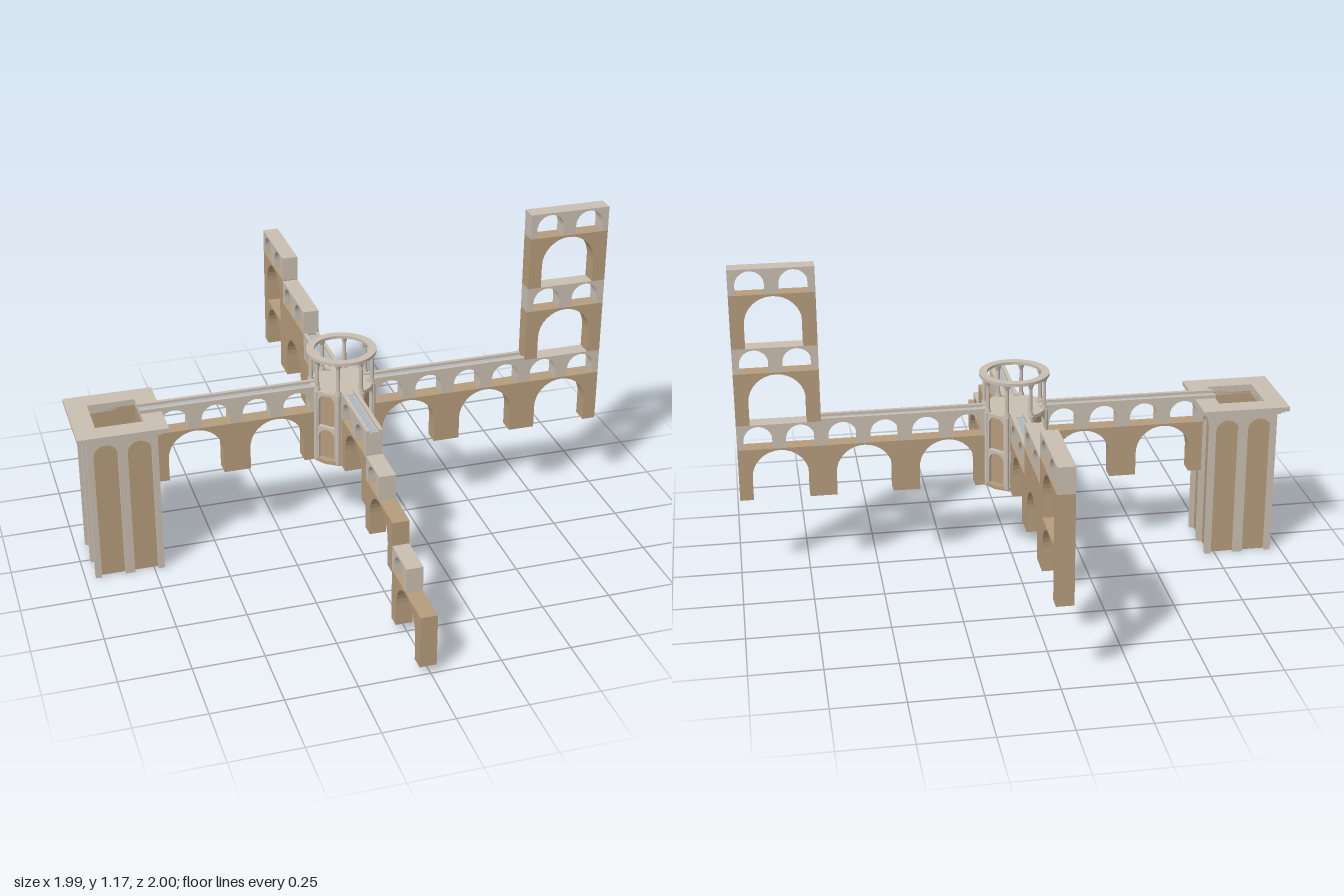
import * as THREE from 'three';

const stone = new THREE.MeshStandardMaterial({ color: 0xc8bdb0, flatShading: true });
const brick = new THREE.MeshStandardMaterial({ color: 0xb59b7b, flatShading: true });
const water = new THREE.MeshStandardMaterial({ color: 0xa9b7c6 });

const BAY = 0.3, LOW = 0.195, HIGH = 0.093, BASE = 0.302, DEPTH = 0.06;

function add(parent, name, geo, mat, x = 0, y = 0, z = 0) {
  const m = new THREE.Mesh(geo, mat);
  m.name = name;
  m.position.set(x, y, z);
  parent.add(m);
  return m;
}

// Wall standing on y = 0, starting at x = 0, with round-headed openings cut up from its foot
function arcade(len, height, centres, half, apex, depth) {
  const s = new THREE.Shape();
  s.moveTo(0, 0);
  for (const c of centres) {
    s.lineTo(c - half, 0);
    s.lineTo(c - half, apex - half);
    s.absarc(c, apex - half, half, Math.PI, 0, true);
    s.lineTo(c + half, 0);
  }
  s.lineTo(len, 0);
  s.lineTo(len, height);
  s.lineTo(0, height);
  s.closePath();
  return new THREE.ExtrudeGeometry(s, { depth, bevelEnabled: false, curveSegments: 8 })
    .translate(0, 0, -depth / 2);
}

// Flat ring lying level, rising from y = 0
function ring(outer, inner, height) {
  return new THREE.ExtrudeGeometry(outer, { depth: height, bevelEnabled: false, curveSegments: 24 , holes: inner })
    .rotateX(-Math.PI / 2);
}
function square(r, hole) {
  const s = new THREE.Shape([[-r, -r], [r, -r], [r, r], [-r, r]].map(p => new THREE.Vector2(...p)));
  if (hole) s.holes.push(new THREE.Path([[-hole, -hole], [-hole, hole], [hole, hole], [hole, -hole]]
    .map(p => new THREE.Vector2(...p))));
  return s;
}

const bigArch = (arm, x, y, h = LOW) =>
  add(arm, 'bigArch', arcade(BAY, h, [BAY / 2], 0.101, 0.188, DEPTH), brick, x, y);
const smallArches = (arm, x, y, n = 2) =>
  add(arm, 'smallArches', arcade(n * BAY / 2, HIGH, n === 2 ? [0.075, 0.225] : [0.075], 0.051, 0.086, DEPTH), stone, x, y);

// One bay: a wide arch carrying a row of small arches
function bay(arm, x, y, small = 2) {
  bigArch(arm, x, y);
  smallArches(arm, x, y + LOW, small);
}

// Water channel between low kerbs
function channel(arm, from, to) {
  const len = to - from, mid = (from + to) / 2, top = BASE + LOW + HIGH;
  for (const s of [-1, 1])
    add(arm, 'kerb', new THREE.BoxGeometry(len, 0.01, 0.014), stone, mid, top + 0.005, s * 0.023);
  add(arm, 'channelWater', new THREE.BoxGeometry(len, 0.002, 0.02), water, mid, top + 0.001, 0);
}

function makeArm(name, angle, build) {
  const arm = new THREE.Group();
  arm.name = name;
  arm.rotation.y = angle;
  build(arm);
  return arm;
}

function makeHub() {
  const hub = new THREE.Group();
  hub.name = 'centralBasin';
  const sides = 8, r = 0.12, side = 2 * r * Math.sin(Math.PI / sides), apothem = r * Math.cos(Math.PI / sides);
  // brick core and footing
  add(hub, 'core', new THREE.CylinderGeometry(0.104, 0.104, 0.28, sides).rotateY(Math.PI / 8), brick, 0, 0.45, 0);
  add(hub, 'footing', new THREE.CylinderGeometry(0.122, 0.122, 0.014, 16), brick, 0, 0.314, 0);
  add(hub, 'floor', new THREE.CylinderGeometry(0.117, 0.117, 0.012, 16), stone, 0, 0.588, 0);
  for (let i = 0; i < sides; i++) {
    const face = new THREE.Group();
    face.name = 'hubFace';
    face.rotation.y = i * Math.PI / 4;
    hub.add(face);
    // two storeys of niches
    for (const y of [0.312, 0.453])
      add(face, 'niche', arcade(side, 0.141, [side / 2], 0.033, 0.13, 0.014), stone, -side / 2, y, apothem - 0.007);
    // corner shaft, then a slim column with base and capital
    const corner = new THREE.Group();
    corner.name = 'corner';
    corner.rotation.y = Math.PI / 8;
    face.add(corner);
    add(corner, 'shaft', new THREE.CylinderGeometry(0.009, 0.009, 0.28, 8), stone, 0, 0.452, 0.116);
    add(corner, 'column', new THREE.CylinderGeometry(0.006, 0.008, 0.12, 8), stone, 0, 0.654, 0.111);
    add(corner, 'columnBase', new THREE.CylinderGeometry(0.01, 0.012, 0.012, 8), stone, 0, 0.6, 0.111);
    add(corner, 'capital', new THREE.CylinderGeometry(0.014, 0.006, 0.022, 8), stone, 0, 0.705, 0.111);
  }
  const disc = new THREE.Shape().absarc(0, 0, 0.127, 0, Math.PI * 2);
  disc.holes.push(new THREE.Path().absarc(0, 0, 0.098, 0, Math.PI * 2, true));
  add(hub, 'topRing', ring(disc, null, 0.011), stone, 0, 0.715, 0);
  return hub;
}

function makeCistern() {
  const tower = new THREE.Group();
  tower.name = 'cisternTower';
  const h = 0.565, half = 0.125, skin = 0.016;
  add(tower, 'innerWall', ring(square(half - skin, 0.085), null, h), brick);
  // stone facing with two tall blind arches per side
  for (let i = 0; i < 4; i++) {
    const face = new THREE.Group();
    face.name = 'towerFace';
    face.rotation.y = i * Math.PI / 2;
    tower.add(face);
    add(face, 'facing', arcade(2 * half, h, [half - 0.06, half + 0.06], 0.043, 0.535, skin), stone,
      -half, 0, half - skin / 2);
  }
  // stepped cornice
  [[0.135, 0.552], [0.146, 0.561], [0.16, 0.571]].forEach(([r, y], i) =>
    add(tower, 'cornice', ring(square(r, 0.085), null, i === 2 ? 0.016 : 0.01), stone, 0, y, 0));
  return tower;
}

export function createModel() {
  const model = new THREE.Group();
  model.name = 'aqueduct';
  const cross = new THREE.Group();
  cross.name = 'crossing';
  cross.position.x = -0.01;
  model.add(cross);

  const x = i => 0.1 + i * BAY;
  const pitch = LOW + HIGH;

  // left arm, ending in a three-storey stack
  cross.add(makeArm('leftArm', 0, arm => {
    for (let i = 0; i < 3; i++) bay(arm, x(i), BASE);
    for (let k = 1; k < 3; k++) bay(arm, x(2), BASE + k * pitch);
    channel(arm, 0.09, 0.7);
  }));

  // right arm, running into the cistern tower
  cross.add(makeArm('rightArm', Math.PI, arm => {
    for (let i = 0; i < 2; i++) bay(arm, x(i), BASE);
    add(arm, 'spout', new THREE.BoxGeometry(0.045, 0.014, DEPTH), stone, 0.7225, 0.583, 0);
    channel(arm, 0.09, 0.745);
  }));

  // front arm, stepping down
  cross.add(makeArm('frontArm', -Math.PI / 2, arm => {
    bay(arm, x(0), BASE);
    bay(arm, x(1), 0.215, 1);
    bay(arm, x(2), 0.032, 1);
    channel(arm, 0.09, 0.4);
  }));

  // back arm, stepping up
  cross.add(makeArm('backArm', Math.PI / 2, arm => {
    bay(arm, x(0), BASE);
    bigArch(arm, x(1), BASE, pitch + 0.006);
    smallArches(arm, x(1), BASE + pitch + 0.006);
    bigArch(arm, x(2), BASE);
    bay(arm, x(2), BASE + LOW);
    channel(arm, 0.09, 0.4);
  }));

  cross.add(makeHub());

  const cistern = makeCistern();
  cistern.position.x = -0.838;
  model.add(cistern);
  return model;
}
